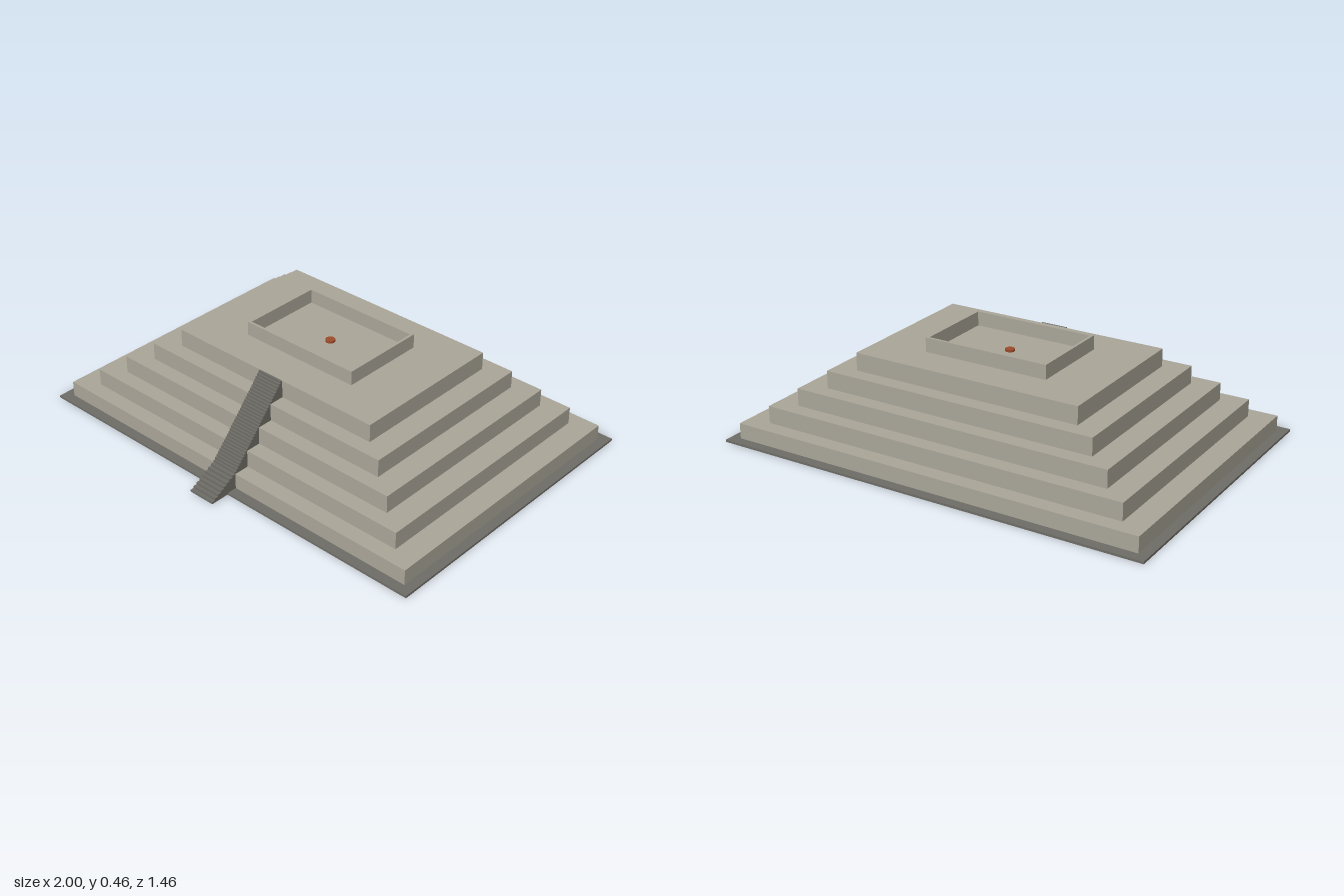
import * as THREE from 'three';

const CZ = -0.045; // centre of the pyramid body in z
const stone = new THREE.MeshStandardMaterial({ color: 0xa8a497 });
const darkStone = new THREE.MeshStandardMaterial({ color: 0x6e6c65 });
const ember = new THREE.MeshStandardMaterial({ color: 0x9a4a2a });

function add(parent, name, geometry, material, x = 0, y = 0, z = 0) {
  const mesh = new THREE.Mesh(geometry, material);
  mesh.name = name;
  mesh.position.set(x, y, z);
  parent.add(mesh);
  return mesh;
}

// Flat rectangular ring lying in the xz plane, extruded upwards
function frame(halfX, halfZ, innerX, innerZ, height) {
  const rect = (w, d) => [[-w, -d], [w, -d], [w, d], [-w, d]].map(p => new THREE.Vector2(...p));
  const shape = new THREE.Shape(rect(halfX, halfZ));
  shape.holes.push(new THREE.Path(rect(innerX, innerZ).reverse()));
  return new THREE.ExtrudeGeometry(shape, { depth: height, bevelEnabled: false }).rotateX(-Math.PI / 2);
}

export function createModel() {
  const model = new THREE.Group();
  model.name = 'steppedPyramid';

  // Stepped terraces: half width, half depth, top height
  const tiers = [
    [0.955, 0.641, 0.08],
    [0.849, 0.57, 0.158],
    [0.744, 0.5, 0.237],
    [0.638, 0.43, 0.316],
    [0.533, 0.36, 0.396],
  ];
  let bottom = 0;
  tiers.forEach(([hx, hz, top], i) => {
    add(model, `terrace${i + 1}`, new THREE.BoxGeometry(hx * 2, top - bottom, hz * 2),
      stone, 0, (top + bottom) / 2, CZ);
    bottom = top;
  });

  // Thin paved border around the lowest terrace
  add(model, 'basePlinth', frame(1, 0.686, 0.955, 0.641, 0.01), darkStone, 0, 0, CZ);

  // Low wall enclosing the summit
  add(model, 'summitWall', frame(0.292, 0.197, 0.28, 0.185, 0.064), stone, 0, 0.396, CZ);

  // Small round hearth in the middle of the summit
  add(model, 'hearth', new THREE.CylinderGeometry(0.021, 0.021, 0.01, 24), ember, 0, 0.401, CZ);

  // Staircase: one flight per terrace, the lowest one shallower
  const steps = 8;
  const profile = new THREE.Shape();
  let z = 0.73, y = 0.003;
  profile.moveTo(z, y);
  tiers.forEach(([, hz, top]) => {
    const dz = (z - (CZ + hz)) / steps;
    const dy = (top - y) / steps;
    for (let s = 0; s < steps; s++) {
      y += dy;
      profile.lineTo(z, y);
      z -= dz;
      profile.lineTo(z, y);
    }
  });
  profile.lineTo(z, 0.003);
  const width = 0.125;
  const stairs = new THREE.ExtrudeGeometry(profile, { depth: width, bevelEnabled: false });
  stairs.rotateY(-Math.PI / 2).translate(width / 2, 0, 0);
  add(model, 'staircase', stairs, darkStone);

  return model;
}
